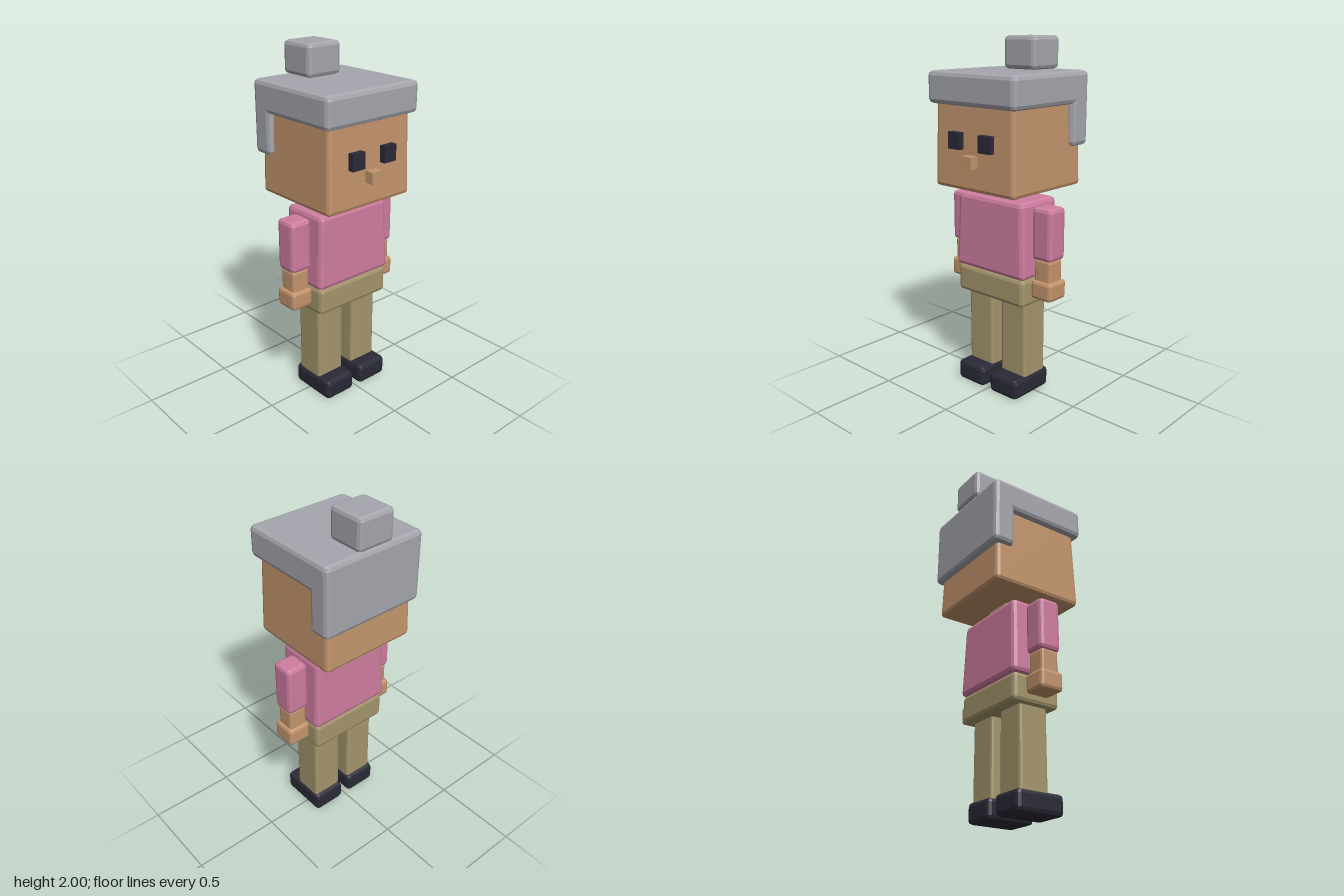
import * as THREE from 'three';
import { RoundedBoxGeometry } from 'three/addons/geometries/RoundedBoxGeometry.js';

function material(name, color) {
  const m = new THREE.MeshStandardMaterial({ color });
  m.name = name;
  return m;
}

// Bevelled box between two bounds on each axis; taper is the top width over the bottom width.
function block(name, mat, [x0, x1], [y0, y1], [z0, z1], bevel = 0.02, taper = 1) {
  const w = x1 - x0, h = y1 - y0, d = z1 - z0;
  let geo = bevel > 0
    ? new RoundedBoxGeometry(w, h, d, 1, bevel)
    : new THREE.BoxGeometry(w, h, d);
  const p = geo.attributes.position;
  for (let i = 0; i < p.count; i++) {
    const s = 1 + (taper - 1) * (p.getY(i) / h + 0.5);
    p.setXYZ(i, p.getX(i) * s, p.getY(i), p.getZ(i) * s);
  }
  // Faceted bevels
  if (geo.index) geo = geo.toNonIndexed();
  geo.computeVertexNormals();
  const mesh = new THREE.Mesh(geo, mat);
  mesh.name = name;
  mesh.position.set((x0 + x1) / 2, (y0 + y1) / 2, (z0 + z1) / 2);
  return mesh;
}

export function createModel() {
  const model = new THREE.Group();
  model.name = 'blockFigure';
  const skin = material('skin', 0xc4956d);
  const hair = material('greyHair', 0xa6a7ae);
  const shirt = material('pinkShirt', 0xcf7da0);
  const trousers = material('khakiTrousers', 0xa5966d);
  const dark = material('darkNavy', 0x2a2a38);

  // Head, neck and nose
  model.add(
    block('head', skin, [-0.292, 0.292], [1.19, 1.77], [-0.29, 0.27], 0.022, 0.95),
    block('neck', skin, [-0.087, 0.087], [1.1, 1.21], [-0.087, 0.087], 0.015),
    block('nose', skin, [-0.035, 0.035], [1.325, 1.39], [0.25, 0.317], 0)
  );

  // Hair: cap, back panel and bun
  model.add(
    block('hairCap', hair, [-0.316, 0.316], [1.645, 1.82], [-0.317, 0.293], 0.025),
    block('hairBack', hair, [-0.316, 0.316], [1.415, 1.79], [-0.317, -0.185], 0.025),
    block('hairBun', hair, [-0.112, 0.112], [1.82, 2], [-0.315, -0.095], 0.022)
  );

  // Torso and hips
  model.add(
    block('torso', shirt, [-0.256, 0.256], [0.71, 1.14], [-0.155, 0.155], 0.025, 0.93),
    block('hips', trousers, [-0.246, 0.246], [0.553, 0.712], [-0.146, 0.146], 0.022)
  );

  // Paired parts
  for (const [side, s] of [['left', 1], ['right', -1]]) {
    const half = new THREE.Group();
    half.name = side + 'Side';
    const span = (a, b) => (s > 0 ? [a, b] : [-b, -a]);
    half.add(
      block(side + 'Eye', dark, span(0.069, 0.153), [1.415, 1.507], [0.25, 0.298], 0),
      block(side + 'Sleeve', shirt, span(0.24, 0.372), [0.82, 1.115], [-0.066, 0.066], 0.022),
      block(side + 'Forearm', skin, span(0.252, 0.361), [0.69, 0.825], [-0.054, 0.054], 0.014),
      block(side + 'Hand', skin, span(0.24, 0.378), [0.597, 0.705], [-0.071, 0.071], 0.018),
      block(side + 'Leg', trousers, span(0.036, 0.215), [0.09, 0.58], [-0.088, 0.088], 0.014),
      block(side + 'Shoe', dark, span(0.026, 0.226), [0, 0.115], [-0.112, 0.18], 0.022)
    );
    model.add(half);
  }
  return model;
}
